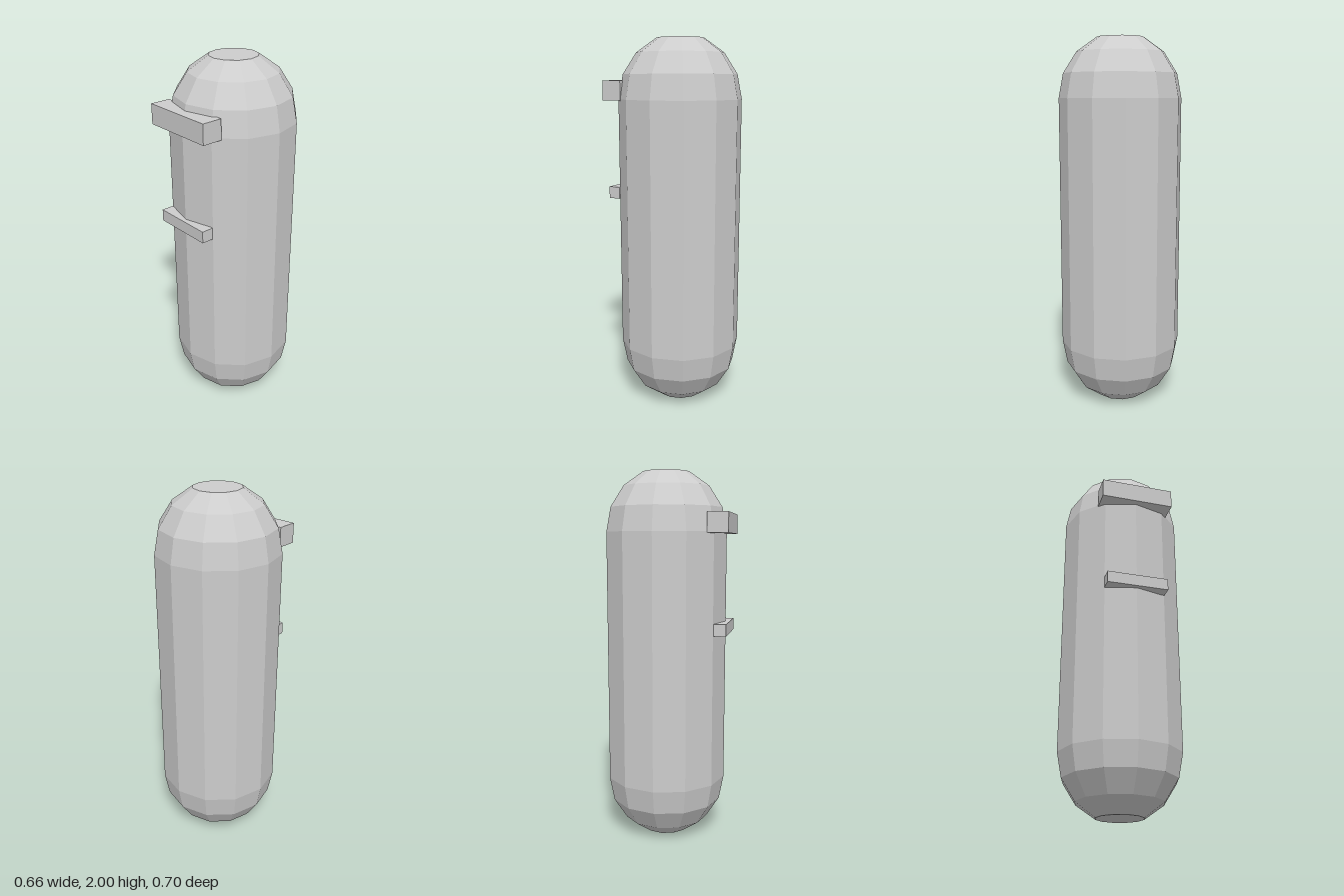
import * as THREE from 'three';

const grey = new THREE.MeshStandardMaterial({ color: 0xcccccc });
grey.name = 'light grey';

const BODY_Z = -0.018;

export function createModel() {
  const model = new THREE.Group();
  model.name = 'capsule';

  // Twelve-sided faceted capsule, with flat ends; lower half mirrored to the upper
  const end = [[0, 0], [0.127, 0], [0.235, 0.076], [0.307, 0.188], [0.332, 0.318]];
  const profile = [
    ...end.map(([r, y]) => new THREE.Vector2(r, y)),
    ...end.map(([r, y]) => new THREE.Vector2(r, 2 - y)).reverse(),
  ];
  const shell = new THREE.LatheGeometry(profile, 12).toNonIndexed();
  shell.computeVertexNormals(); // one normal per facet
  const body = new THREE.Mesh(shell, grey);
  body.name = 'body';
  body.position.z = BODY_Z;
  model.add(body);

  // Bars set into the front of the body
  const addBar = (name, width, y0, y1, z0, z1) => {
    const bar = new THREE.Mesh(new THREE.BoxGeometry(width, y1 - y0, z1 - z0), grey);
    bar.name = name;
    bar.position.set(0, (y0 + y1) / 2, (z0 + z1) / 2);
    model.add(bar);
  };
  addBar('upperBar', 0.4, 1.674, 1.78, 0.238, 0.348);
  addBar('lowerBar', 0.334, 1.139, 1.203, 0.273, 0.338);

  return model;
}
